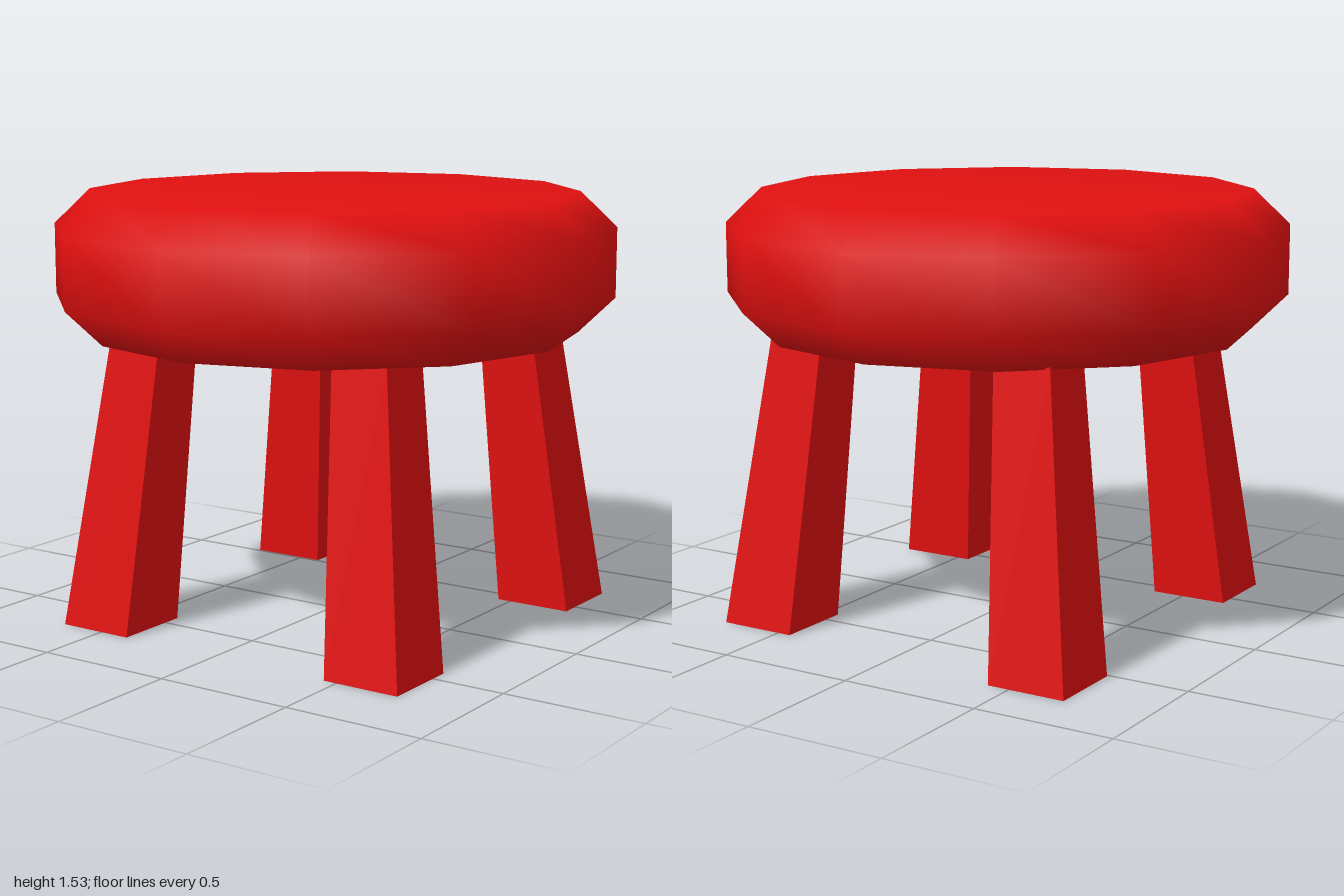
import * as THREE from 'three';

const RED = 0xe01010;
const SEAT_BOTTOM = 1.03;

// Open, four-sided tube that tapers and leans from a foot rectangle to a top rectangle.
// foot and top are [centreX, centreZ, width, depth].
function legGeometry(foot, top, height) {
  const geometry = new THREE.CylinderGeometry(Math.SQRT1_2, Math.SQRT1_2, 1, 4, 1, true);
  geometry.rotateY(Math.PI / 4);
  const position = geometry.attributes.position;
  for (let i = 0; i < position.count; i++) {
    const upper = position.getY(i) > 0;
    const [cx, cz, width, depth] = upper ? top : foot;
    position.setXYZ(
      i,
      cx + position.getX(i) * width,
      upper ? height : 0,
      cz + position.getZ(i) * depth
    );
  }
  geometry.computeVertexNormals();
  return geometry;
}

export function createModel() {
  const model = new THREE.Group();
  model.name = 'stool';

  // Twelve-sided cushion seat with bevelled rims and smooth shading
  const profile = [
    [0, SEAT_BOTTOM], [0.87, SEAT_BOTTOM], [1, 1.155],
    [1, 1.405], [0.87, 1.53], [0, 1.53],
  ].map(([r, y]) => new THREE.Vector2(r, y));
  const seat = new THREE.Mesh(
    new THREE.LatheGeometry(profile, 12),
    new THREE.MeshStandardMaterial({ color: RED })
  );
  seat.name = 'seat';
  model.add(seat);

  // Splayed hollow legs; the back right one stands slightly further out
  const legMaterial = new THREE.MeshStandardMaterial({
    color: RED, flatShading: true, side: THREE.DoubleSide,
  });
  const legs = [
    { name: 'frontLeftLeg', foot: [0.593, 0.575], top: [0.493, 0.47] },
    { name: 'backLeftLeg', foot: [0.593, -0.573], top: [0.493, -0.48] },
    { name: 'frontRightLeg', foot: [-0.527, 0.575], top: [-0.438, 0.47] },
    { name: 'backRightLeg', foot: [-0.563, -0.65], top: [-0.458, -0.54] },
  ];
  for (const { name, foot, top } of legs) {
    const geometry = legGeometry([...foot, 0.284, 0.284], [...top, 0.213, 0.213], SEAT_BOTTOM + 0.01);
    const leg = new THREE.Mesh(geometry, legMaterial);
    leg.name = name;
    model.add(leg);
  }

  return model;
}
